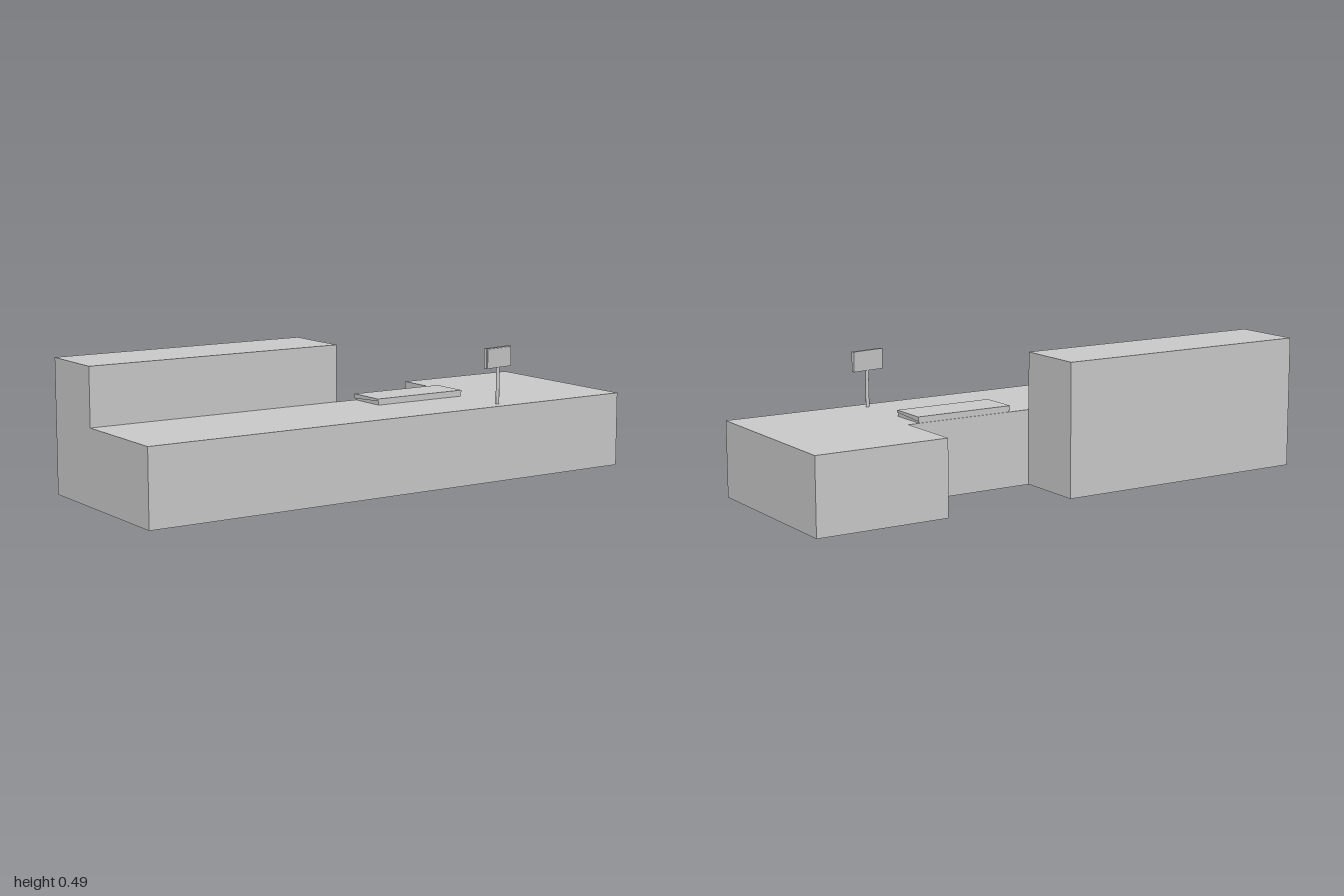
import * as THREE from 'three';

const material = new THREE.MeshStandardMaterial({ color: 0xcccccc, flatShading: true });

function add(parent, name, geometry, x = 0, y = 0, z = 0) {
  const mesh = new THREE.Mesh(geometry, material);
  mesh.name = name;
  mesh.position.set(x, y, z);
  parent.add(mesh);
  return mesh;
}

// Extrudes an [a, b] outline along the local z axis
function prism(points, depth) {
  const shape = new THREE.Shape(points.map(([a, b]) => new THREE.Vector2(a, b)));
  return new THREE.ExtrudeGeometry(shape, { depth, bevelEnabled: false });
}

export function createModel() {
  const group = new THREE.Group();
  group.name = 'counter';

  const top = 0.277, back = -0.34, front = 0.34, step = -0.073;

  // Counter body with a notch in its back; outline drawn as x, -z
  const body = prism([
    [-1, -front], [1, -front], [1, -back], [0.5, -back],
    [0.5, -step], [0, -step], [0, -back], [-1, -back],
  ], top).rotateX(-Math.PI / 2);
  add(group, 'counterBody', body);

  // Raised block along the back
  add(group, 'rearBlock', new THREE.BoxGeometry(1, 0.211, step - back),
    -0.5, top + 0.1055, (back + step) / 2);

  // Shelf with a sloping underside; outline drawn as -z, y
  const shelf = prism([
    [-0.077, 0.292], [0.073, 0.283], [0.073, 0.3], [-0.077, 0.3],
  ], 0.38).rotateY(Math.PI / 2);
  add(group, 'shelf', shelf, 0.08);

  // Slightly inset support under the shelf
  const support = prism([
    [-0.076, top], [0.07, top], [0.07, 0.2835], [-0.076, 0.292],
  ], 0.372).rotateY(Math.PI / 2);
  add(group, 'shelfSupport', support, 0.084);

  // Post and turned display panel
  const display = new THREE.Group();
  display.name = 'display';
  display.position.set(0.46, top, 0.294);
  display.rotation.y = 0.155;
  group.add(display);
  add(display, 'post', new THREE.CylinderGeometry(0.0065, 0.0065, 0.14, 16), 0, 0.07, 0);
  add(display, 'panel', new THREE.BoxGeometry(0.13, 0.074, 0.013), 0, 0.172, -0.002);
  add(display, 'screen', new THREE.BoxGeometry(0.124, 0.068, 0.003), 0, 0.172, 0.006);

  return group;
}
